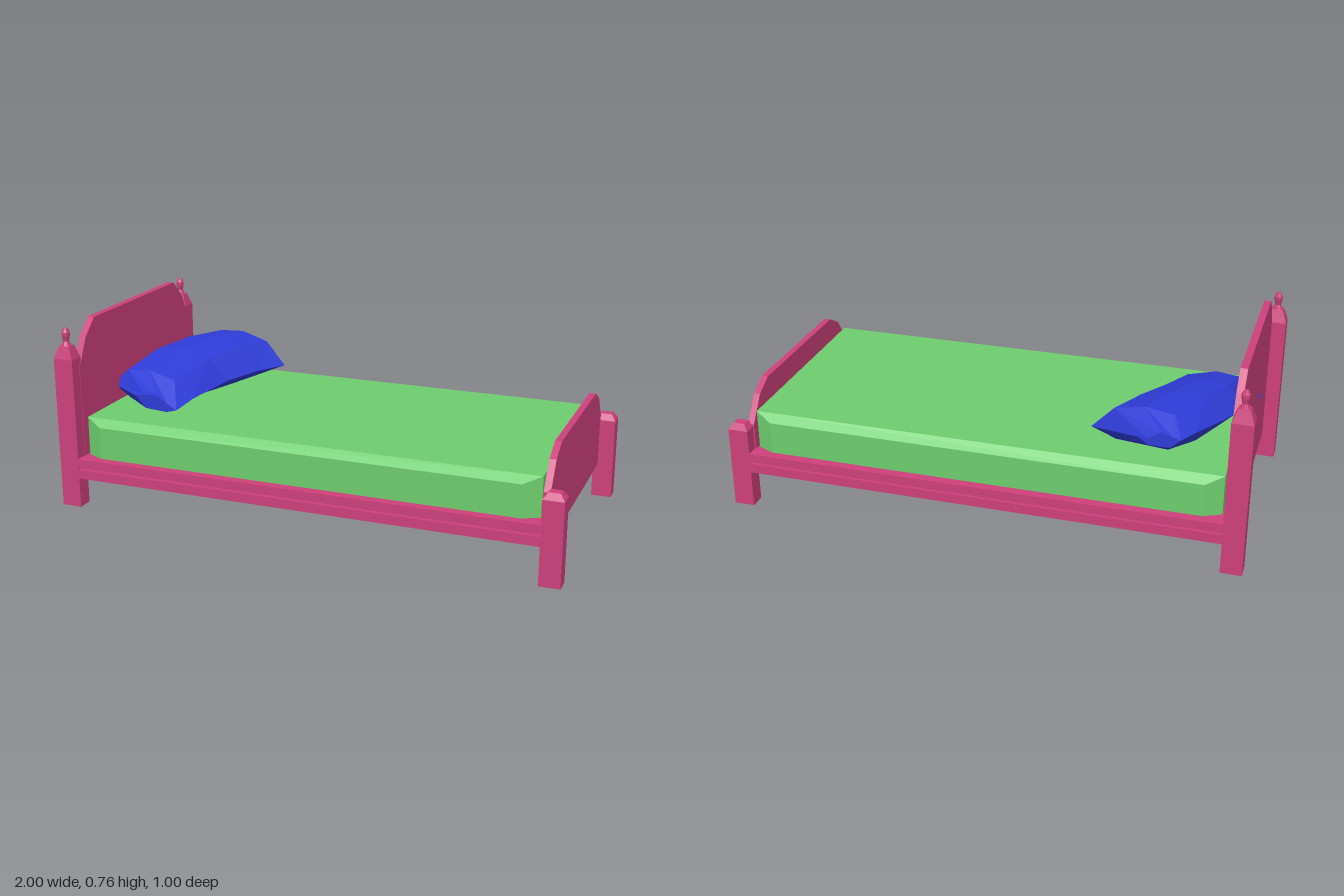
import * as THREE from 'three';
import { ConvexGeometry } from 'three/addons/geometries/ConvexGeometry.js';

const paint = (color) => new THREE.MeshStandardMaterial({ color, flatShading: true });

export function createModel() {
  const bed = new THREE.Group();
  bed.name = 'bed';
  const wood = paint(0xcc407a);
  const green = paint(0x6dcc6d);
  const blue = paint(0x2e3bd6);

  function add(parent, name, geometry, material, x = 0, y = 0, z = 0) {
    const mesh = new THREE.Mesh(geometry, material);
    mesh.name = name;
    mesh.position.set(x, y, z);
    parent.add(mesh);
    return mesh;
  }

  function box(parent, name, x0, x1, y0, y1, z0, z1) {
    return add(parent, name, new THREE.BoxGeometry(x1 - x0, y1 - y0, z1 - z0), wood,
      (x0 + x1) / 2, (y0 + y1) / 2, (z0 + z1) / 2);
  }

  // Square post with a tapered cap, and a turned finial when asked for
  function post(name, x, z, bottom, shoulder, top, finial) {
    const group = new THREE.Group();
    group.name = name;
    group.position.set(x, 0, z);
    bed.add(group);
    const w = 0.08, d = 0.063;
    box(group, 'postShaft', -w / 2, w / 2, bottom, shoulder, -d / 2, d / 2);
    const cap = new THREE.CylinderGeometry(0.55 * Math.SQRT1_2, Math.SQRT1_2, top - shoulder, 4);
    cap.rotateY(Math.PI / 4).scale(w, 1, d);
    add(group, 'postCap', cap, wood, 0, (shoulder + top) / 2, 0);
    if (finial) {
      const profile = [[0.019, 0], [0.011, 0.018], [0.016, 0.038], [0.016, 0.052], [0.009, 0.067], [0, 0.067]]
        .map(([r, y]) => new THREE.Vector2(r, y));
      add(group, 'finial', new THREE.LatheGeometry(profile, 8), wood, 0, top, 0);
    }
  }

  for (const [side, s] of [['Left', 1], ['Right', -1]]) {
    post('headPost' + side, -0.96, s * 0.468, 0.03, 0.63, 0.68, true);
    post('footPost' + side, 0.96, s * 0.466, 0, 0.325, 0.35, false);
    // Two rails with a narrow groove between them
    const z = s * 0.485;
    box(bed, 'lowerRail' + side, -0.93, 0.93, 0.15, 0.187, z - 0.015, z + 0.015);
    box(bed, 'upperRail' + side, -0.93, 0.93, 0.195, 0.23, z - 0.015, z + 0.015);
  }

  // Base panel under the mattress
  box(bed, 'basePanel', -0.925, 0.925, 0.17, 0.229, -0.475, 0.475);

  // Boards: mirrored outlines in z and y, extruded along x
  function board(name, x0, thickness, bottom, outline) {
    const half = outline.map(([z, y]) => new THREE.Vector2(z, y));
    const mirrored = half.map((p) => new THREE.Vector2(-p.x, p.y)).reverse();
    const edge = outline[0][0];
    const shape = new THREE.Shape([
      new THREE.Vector2(-edge, bottom), new THREE.Vector2(edge, bottom), ...half, ...mirrored,
    ]);
    const geometry = new THREE.ExtrudeGeometry(shape, { depth: thickness, bevelEnabled: false });
    geometry.rotateY(Math.PI / 2);
    add(bed, name, geometry, wood, x0, 0, 0);
  }
  board('headboard', -0.945, 0.027, 0.135, [[0.45, 0.595], [0.437, 0.615], [0.396, 0.698], [0.328, 0.762]]);
  board('footboard', 0.914, 0.025, 0.135, [[0.45, 0.335], [0.435, 0.355], [0.38, 0.433], [0.303, 0.475]]);

  // Mattress with cut corners and sloped long top edges
  const corners = [];
  for (const x of [-1, 1]) for (const z of [-1, 1]) {
    for (const y of [0.23, 0.385]) corners.push(new THREE.Vector3(x * 0.907, y, z * 0.43));
    for (const y of [0.23, 0.357]) corners.push(new THREE.Vector3(x * 0.84, y, z * 0.462));
  }
  add(bed, 'mattress', new ConvexGeometry(corners), green);

  // Pillow cross-sections: left edge, right edge, top height, bottom height
  const sections = [
    [[-0.80, 0.43, 0.24], [-0.60, 0.40, 0.275], 0.45, 0.385],
    [[-0.955, 0.44, 0.15], [-0.58, 0.42, 0.17], 0.515, 0.38],
    [[-0.92, 0.47, -0.02], [-0.53, 0.44, -0.05], 0.56, 0.38],
    [[-0.86, 0.49, -0.20], [-0.46, 0.45, -0.19], 0.577, 0.39],
    [[-0.785, 0.51, -0.37], [-0.39, 0.45, -0.31], 0.573, 0.42],
    [[-0.745, 0.51, -0.445], [-0.59, 0.50, -0.44], 0.53, 0.475],
  ];
  const rings = sections.map(([l, r, top, bottom]) => {
    const a = new THREE.Vector3(...l), b = new THREE.Vector3(...r);
    const at = (t, y) => a.clone().lerp(b, t).setY(y);
    return [a, at(0.2, top - 0.01), at(0.48, top), at(0.78, top - 0.03), b, at(0.75, bottom), at(0.25, bottom)];
  });
  const positions = [];
  const tri = (...points) => points.forEach((p) => positions.push(p.x, p.y, p.z));
  const centre = (ring) => ring.reduce((sum, p) => sum.add(p), new THREE.Vector3()).divideScalar(ring.length);
  const n = rings[0].length, last = rings[rings.length - 1];
  for (let j = 0; j < n; j++) {
    const k = (j + 1) % n;
    for (let i = 0; i + 1 < rings.length; i++) {
      const p = rings[i], q = rings[i + 1];
      tri(p[j], p[k], q[j]);
      tri(p[k], q[k], q[j]);
    }
    tri(centre(rings[0]), rings[0][k], rings[0][j]);
    tri(centre(last), last[j], last[k]);
  }
  const pillow = new THREE.BufferGeometry();
  pillow.setAttribute('position', new THREE.Float32BufferAttribute(positions, 3));
  pillow.computeVertexNormals();
  add(bed, 'pillow', pillow, blue);

  return bed;
}
